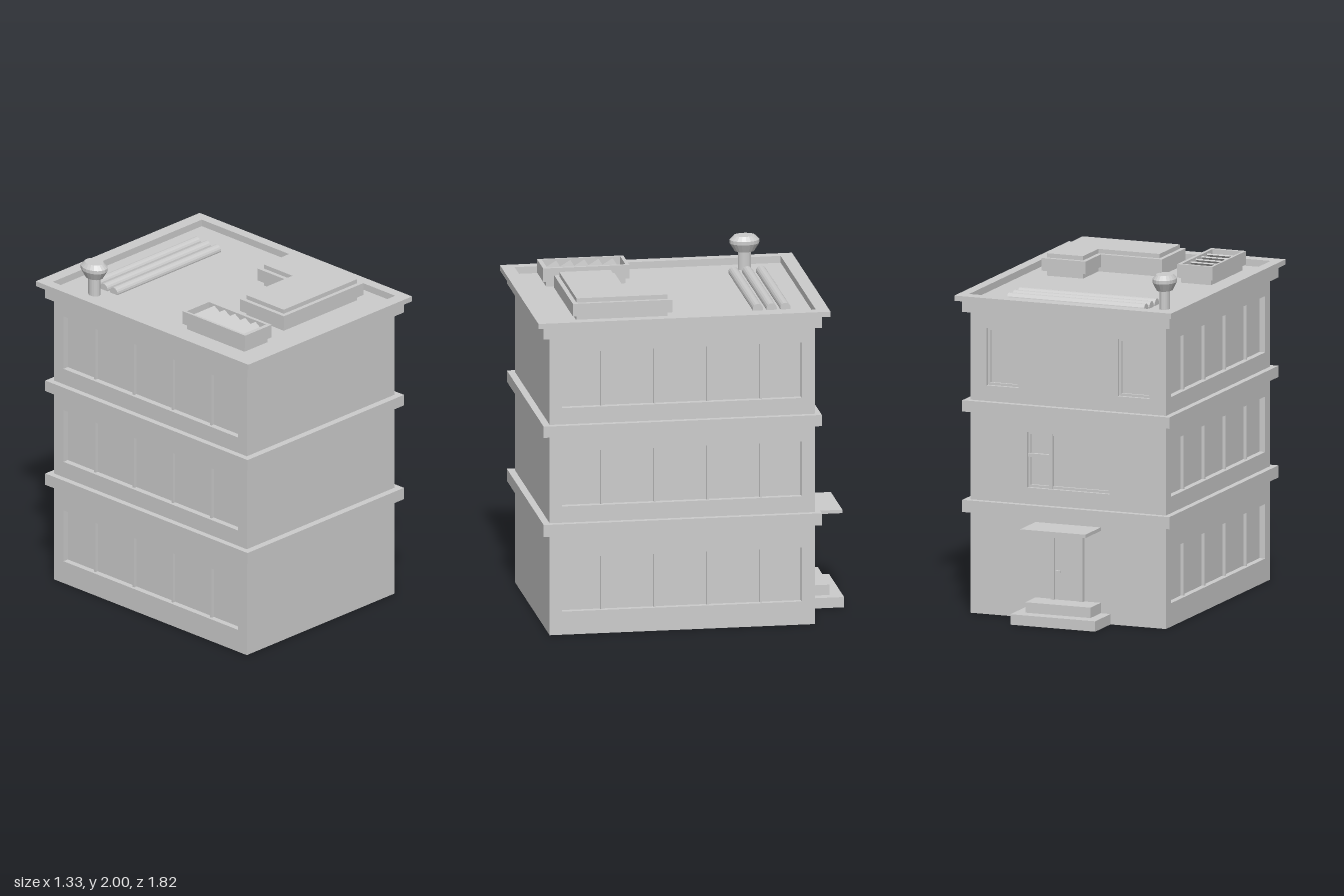
import * as THREE from 'three';

const mat = new THREE.MeshStandardMaterial({ color: 0xcccccc, flatShading: true });

function add(parent, name, geometry) {
  const mesh = new THREE.Mesh(geometry, mat);
  mesh.name = name;
  parent.add(mesh);
  return mesh;
}

// box given by its limits on each axis
function box(parent, name, x0, x1, y0, y1, z0, z1) {
  const mesh = add(parent, name, new THREE.BoxGeometry(x1 - x0, y1 - y0, z1 - z0));
  mesh.position.set((x0 + x1) / 2, (y0 + y1) / 2, (z0 + z1) / 2);
  return mesh;
}

const rect = (C, u0, u1, v0, v1) =>
  new C([[u0, v0], [u1, v0], [u1, v1], [u0, v1]].map(p => new THREE.Vector2(...p)));

// flat panel with rectangular holes, each [u0, u1, v0, v1]
function panel(outer, holes, depth) {
  const shape = rect(THREE.Shape, ...outer);
  holes.forEach(h => shape.holes.push(rect(THREE.Path, ...h)));
  return new THREE.ExtrudeGeometry(shape, { depth, bevelEnabled: false });
}

// horizontal rectangular ring between two heights
function ring(parent, name, outer, inner, y0, y1) {
  const flip = ([x0, x1, z0, z1]) => [x0, x1, -z1, -z0];
  const geo = panel(flip(outer), [flip(inner)], y1 - y0).rotateX(-Math.PI / 2);
  add(parent, name, geo).position.y = y0;
}

const W = 0.6, ZB = -0.685, ZF = 0.835, D = 0.035, TOP = 1.75, ROOF = 1.8;
const FLOORS = [[0.135, 0.45], [0.75, 1.07], [1.325, 1.65]];

function walls(g) {
  // core whose faces form the recessed glass
  box(g, 'core', -W + D, W - D, 0, TOP, ZB + D, ZF);

  // side walls with a ribbon window on each floor
  const side = panel([-ZF, -ZB, 0, TOP], FLOORS.map(f => [-0.765, 0.61, ...f]), D).rotateY(Math.PI / 2);
  for (const s of [1, -1]) {
    add(g, 'sideWall', side).position.x = s > 0 ? W - D : -W;
    for (const [y0, y1] of FLOORS)
      for (let i = 0; i < 4; i++) {
        const z = 0.535 - i * 0.305, x = s * (W - D + 0.008);
        box(g, 'windowMullion', x - 0.01, x + 0.01, y0, y1, z - 0.006, z + 0.006);
      }
  }

  // back wall with its windows
  const middle = [-0.253, 0.253, 0.75, 1.07];
  const upper = [[0.305, 0.5, 1.32, 1.65], [-0.5, -0.305, 1.32, 1.65]];
  add(g, 'backWall', panel([-W + D, W - D, 0, TOP], [middle, ...upper], D)).position.z = ZB;
  for (const h of [middle, ...upper]) {
    const t = 0.014;
    const frame = panel(h, [[h[0] + t, h[1] - t, h[2] + t, h[3] - t]], 0.015);
    add(g, 'windowFrame', frame).position.z = ZB + D - 0.015;
  }
  box(g, 'windowPost', 0.1, 0.122, 0.75, 1.07, ZB + 0.012, ZB + D);
  box(g, 'windowRail', 0.12, 0.253, 0.925, 0.945, ZB + 0.015, ZB + D);
}

function bands(g) {
  for (const [y0, y1] of [[0.585, 0.655], [1.165, 1.23], [1.74, ROOF]])
    box(g, 'floorBand', -0.635, 0.635, y0, y1, -0.72, 0.875);
  const inner = [-0.605, 0.605, -0.69, 0.835];
  ring(g, 'cornice', [-0.635, 0.635, -0.72, 0.875], inner, ROOF, 1.81);
  ring(g, 'parapetCap', [-0.665, 0.665, -0.765, 0.91], inner, 1.81, 1.84);
}

function entrance(g) {
  box(g, 'lowerStep', -0.26, 0.26, 0, 0.06, -0.91, ZB);
  box(g, 'upperStep', -0.2, 0.2, 0.06, 0.12, -0.835, ZB);
  box(g, 'canopy', -0.2, 0.2, 0.535, 0.555, -0.91, ZB);
  box(g, 'door', -0.08, 0.08, 0.12, 0.48, ZB - 0.012, ZB);
  for (const s of [-1, 1])
    box(g, 'doorJamb', s * 0.088 - 0.011, s * 0.088 + 0.011, 0.12, 0.5, ZB - 0.025, ZB);
  box(g, 'doorHead', -0.077, 0.077, 0.478, 0.5, ZB - 0.025, ZB);
  box(g, 'doorHandle', 0.03, 0.06, 0.28, 0.292, -0.725, -0.715);
  box(g, 'handleStem', 0.05, 0.06, 0.28, 0.292, -0.716, ZB - 0.01);
}

// L-shaped slab, inset from its outer outline by t
function slabL(g, name, t, y0, y1) {
  const pts = [[-0.145 + t, 0.685 - t], [0.5 - t, 0.685 - t], [0.5 - t, 0.115 + t],
    [0.23 + t, 0.115 + t], [0.23 + t, 0.34 + t], [-0.145 + t, 0.34 + t]];
  const shape = new THREE.Shape(pts.map(([x, z]) => new THREE.Vector2(x, -z)));
  const geo = new THREE.ExtrudeGeometry(shape, { depth: y1 - y0, bevelEnabled: false });
  add(g, name, geo.rotateX(-Math.PI / 2)).position.y = y0;
}

function roofUnits(g) {
  // L-shaped roof housing
  slabL(g, 'housingPlinth', 0.025, ROOF, 1.835);
  slabL(g, 'housingBody', 0, 1.832, 1.905);
  slabL(g, 'housingLid', 0.025, 1.905, 1.93);

  // louvred vent box
  box(g, 'ventPlinth', -0.485, -0.3, ROOF, 1.84, 0.25, 0.705);
  ring(g, 'ventBox', [-0.5, -0.285, 0.23, 0.725], [-0.485, -0.305, 0.25, 0.7], 1.832, 1.91);
  for (let i = 0; i < 5; i++) {
    const slat = box(g, 'ventSlat', -0.485, -0.305, -0.004, 0.004, -0.048, 0.048);
    slat.position.y = 1.872;
    slat.position.z = 0.332 + i * 0.081;
    slat.rotation.x = 0.55;
  }

  // three parallel pipes
  const pipe = new THREE.CylinderGeometry(0.03, 0.03, 0.84, 16).rotateZ(Math.PI / 2);
  for (let i = 0; i < 3; i++)
    add(g, 'roofPipe', pipe).position.set(0, 1.808, -0.547 + i * 0.079);

  // oval mushroom vent
  const profile = [[0, ROOF], [0.038, ROOF], [0.038, 1.905], [0.056, 1.908], [0.085, 1.955],
    [0.085, 1.975], [0.06, 2.0], [0, 2.0]].map(p => new THREE.Vector2(...p));
  const vent = add(g, 'mushroomVent', new THREE.LatheGeometry(profile, 20));
  vent.scale.x = 0.78;
  vent.position.set(-0.5, 0, -0.465);
}

export function createModel() {
  const model = new THREE.Group();
  model.name = 'building';
  for (const [name, build] of Object.entries({ walls, bands, entrance, roofUnits })) {
    const part = new THREE.Group();
    part.name = name;
    build(part);
    model.add(part);
  }
  return model;
}
